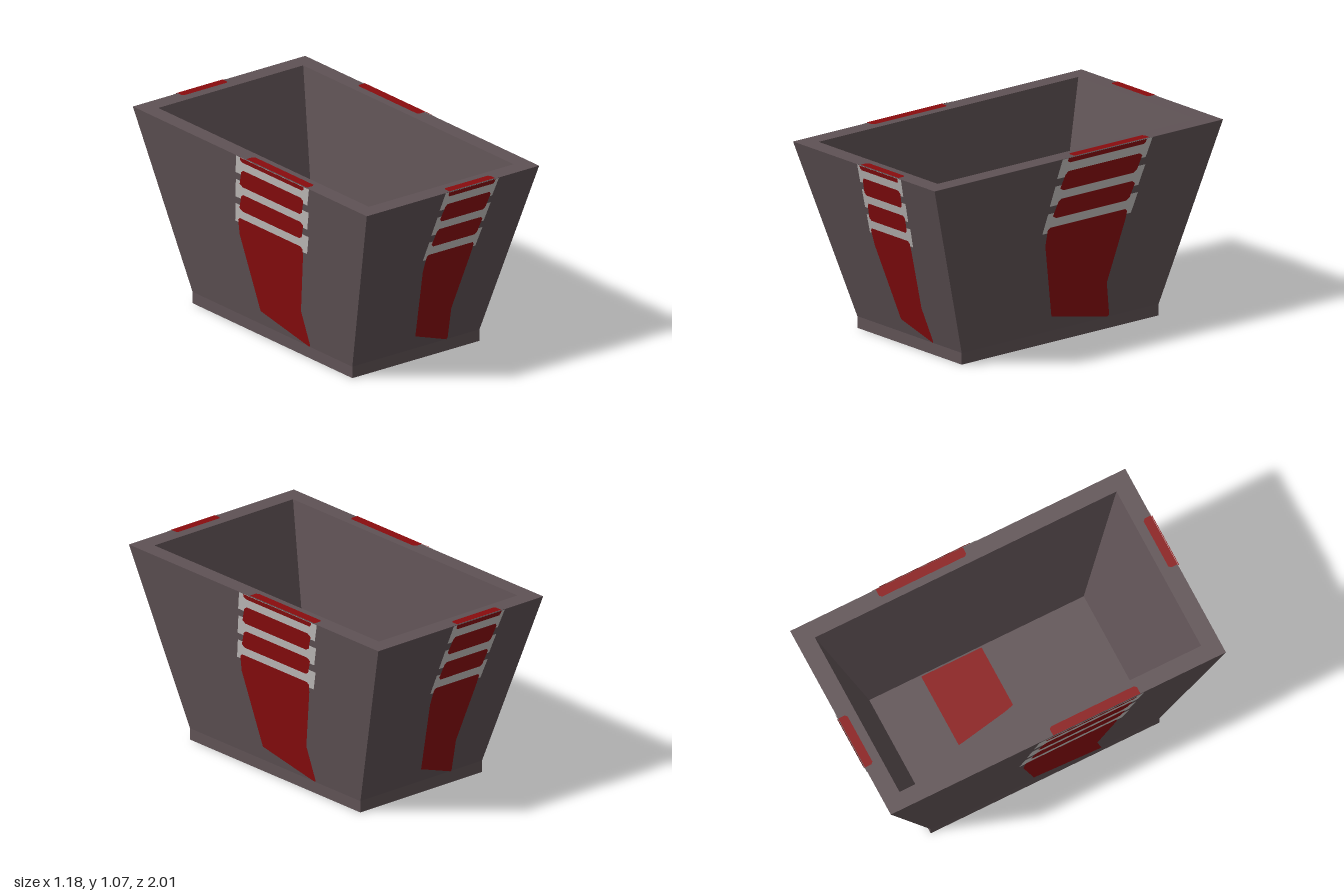
import * as THREE from 'three';

const TOP = 1.062, FOOT = 0.065;

const grey = new THREE.MeshStandardMaterial({ color: 0x5f5255 });
grey.name = 'warm grey';
const red = new THREE.MeshStandardMaterial({ color: 0x8a0c0e, side: THREE.DoubleSide });
red.name = 'dark red';
const white = new THREE.MeshStandardMaterial({ color: 0xc4c0be, side: THREE.DoubleSide });
white.name = 'off white';

// Half extents of the outer walls at a height
const slope = (y) => Math.max(0, (y - FOOT) / (TOP - FOOT));
const halfX = (y) => 0.43 + 0.153 * slope(y);
const halfZ = (y) => 0.683 + 0.317 * slope(y);

// Shell from rectangular cross-sections: underside, foot, walls, rim, inside, floor
function shellGeometry() {
  const rings = [
    [0.43, 0, 0.683], [0.43, FOOT, 0.683], [halfX(TOP), TOP, 1],
    [0.49, TOP, 0.9], [0.365, 0.07, 0.64],
  ].map(([x, y, z]) => [[x, y, z], [x, y, -z], [-x, y, -z], [-x, y, z]]);
  const pos = [];
  const quad = (a, b, c, d) => pos.push(...a, ...b, ...c, ...a, ...c, ...d);
  for (let r = 0; r < rings.length - 1; r++) {
    for (let i = 0; i < 4; i++) {
      const j = (i + 1) % 4;
      quad(rings[r][i], rings[r][j], rings[r + 1][j], rings[r + 1][i]);
    }
  }
  const [a, b, c, d] = rings[0];
  quad(d, c, b, a);
  quad(...rings[rings.length - 1]);
  const geo = new THREE.BufferGeometry();
  geo.setAttribute('position', new THREE.Float32BufferAttribute(pos, 3));
  geo.computeVertexNormals();
  return geo;
}

// Flat painted polygon whose vertices are moved by a placing rule
function painted(name, points, material, place) {
  const shape = new THREE.Shape(points.map(([u, v]) => new THREE.Vector2(u, v)));
  const geo = new THREE.ShapeGeometry(shape);
  const p = geo.attributes.position;
  for (let i = 0; i < p.count; i++) p.setXYZ(i, ...place(p.getX(i), p.getY(i)));
  geo.computeVertexNormals();
  const mesh = new THREE.Mesh(geo, material);
  mesh.name = name;
  return mesh;
}

// Long red tail below the bands
const tail = [
  [-0.03, 0.15], [0.2, 0.068], [0.207, 0.075], [0.183, 0.27], [0.232, 0.62],
  [0.235, 0.665], [0.226, 0.678], [-0.073, 0.678], [-0.083, 0.665], [-0.086, 0.575],
];
// One slanted white band and the red block above it; both repeat up the wall
const band = [[-0.102, 0.647], [0.253, 0.647], [0.273, 0.759], [-0.087, 0.759]];
const block = [
  [-0.055, 0.727], [0.226, 0.727], [0.239, 0.741], [0.255, 0.818],
  [0.243, 0.833], [-0.04, 0.833], [-0.052, 0.818], [-0.068, 0.741],
];
const STEP_X = 0.018, STEP_Y = 0.154;
const repeat = (pts, k) => pts.map(([u, v]) => [u + k * STEP_X, Math.min(TOP, v + k * STEP_Y)]);

// Stripe for one wall; place(u, y, offset) lays it on the slope
function stripe(name, place) {
  const group = new THREE.Group();
  group.name = name;
  const on = (offset) => (u, y) => place(u, y, offset);
  group.add(painted('stripeTail', tail, red, on(0.006)));
  for (let k = 0; k < 3; k++) {
    group.add(painted('whiteBand', repeat(band, k), white, on(0.003)));
    // The last block is cut off by the rim
    const pts = k < 2 ? repeat(block, k)
      : [[-0.02, 1.036], [0.274, 1.036], [0.281, 1.045], [0.285, TOP], [-0.03, TOP], [-0.03, 1.045]];
    group.add(painted('redBlock', pts, red, on(0.006)));
  }
  return group;
}

// Red patch on the rim, spanning u from a to b, with clipped inner corners
function rimPatch(a, b, depth, place) {
  const c = 0.012;
  return painted('rimPatch',
    [[a, 0], [b, 0], [b, depth - c], [b - c, depth], [a + c, depth], [a, depth - c]], red, place);
}

export function createModel() {
  const model = new THREE.Group();
  model.name = 'taperedBin';

  const shell = new THREE.Mesh(shellGeometry(), grey);
  shell.name = 'shell';
  model.add(shell);

  // Each pair of opposite walls is the same, turned half way round
  for (const [turn, end, side] of [[0, 'front', 'left'], [Math.PI, 'back', 'right']]) {
    const half = new THREE.Group();
    half.name = end + 'And' + side + 'Markings';
    half.add(stripe(end + 'Stripe', (u, y, o) => [u, y, halfZ(y) + o]));
    half.add(stripe(side + 'Stripe', (u, y, o) => [halfX(y) + o, y, 0.025 - 1.73 * u]));
    half.add(rimPatch(-0.025, 0.285, 0.05, (u, v) => [u, TOP + 0.004, 1 - v]));
    half.add(rimPatch(-0.03, 0.49, 0.052, (u, v) => [halfX(TOP) - v, TOP + 0.004, -u]));
    half.rotation.y = turn;
    model.add(half);
  }

  // Red patch on the inside floor
  model.add(painted('floorPatch',
    [[-0.01, -0.025], [0.355, -0.025], [0.355, 0.335], [-0.08, 0.335], [-0.075, 0.3], [-0.025, 0.03]],
    red, (u, v) => [u, 0.075, -v]));

  return model;
}
